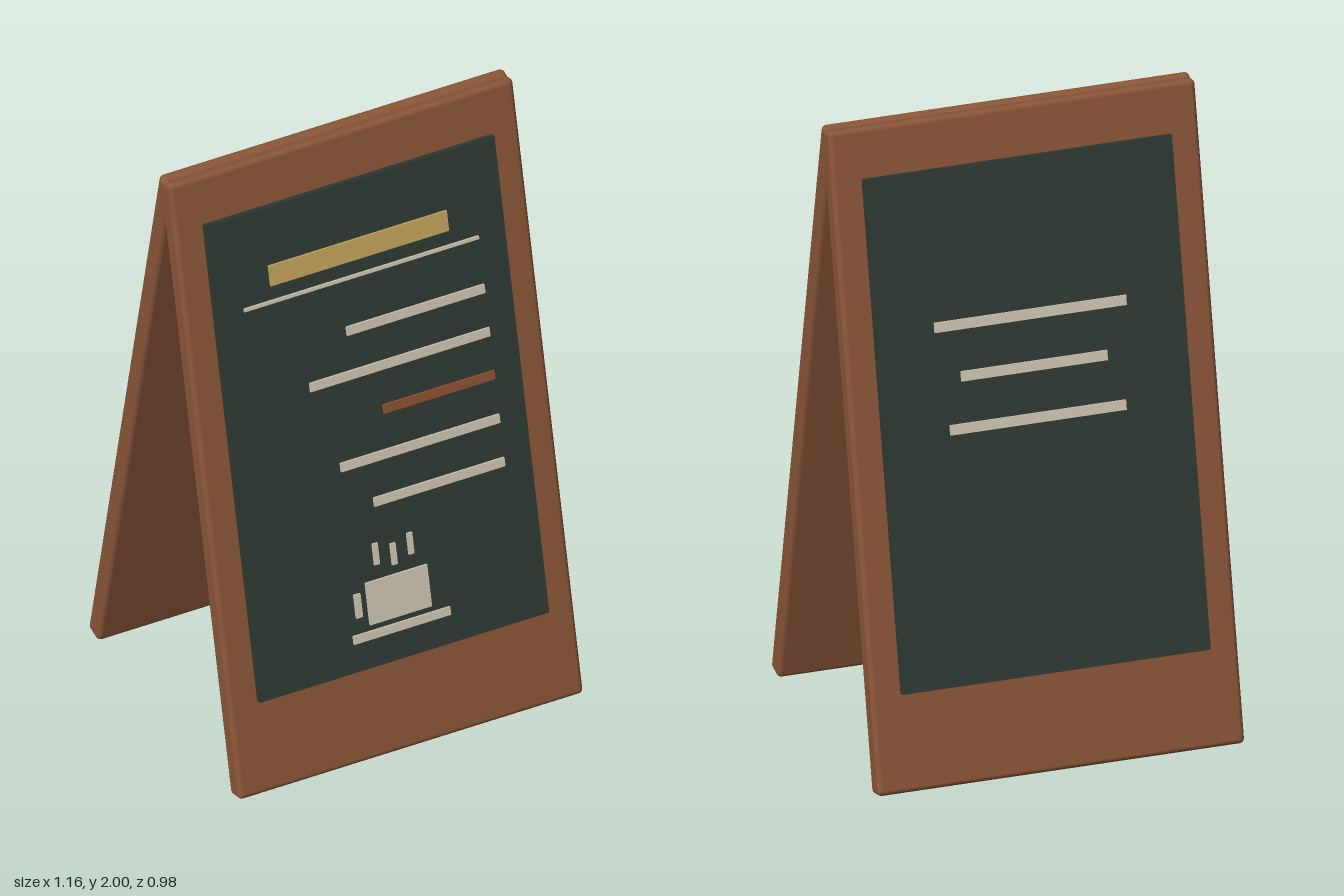
import * as THREE from 'three';
import { RoundedBoxGeometry } from 'three/addons/geometries/RoundedBoxGeometry.js';

const TILT = 0.2255, SIN = Math.sin(TILT), COS = Math.cos(TILT);
const THICK = 0.068, BOARD_FACE = THICK / 2 + 0.02;

const wood = new THREE.MeshStandardMaterial({ name: 'brown wood', color: 0x8b5639 });
const slate = new THREE.MeshStandardMaterial({ name: 'slate green', color: 0x2f3a32 });
const chalk = new THREE.MeshStandardMaterial({ name: 'cream chalk', color: 0xcfc6b2 });
const gold = new THREE.MeshStandardMaterial({ name: 'gold chalk', color: 0xc6a65c });
const rust = new THREE.MeshStandardMaterial({ name: 'rust chalk', color: 0x8e5232 });

function add(parent, name, geometry, material, x, y, z) {
  const mesh = new THREE.Mesh(geometry, material);
  mesh.name = name;
  mesh.position.set(x, y, z);
  parent.add(mesh);
}

// thin chalk mark, given by its upright height y and its left and right x
function mark(parent, name, material, x0, x1, y, height) {
  const z = BOARD_FACE + 0.006;
  add(parent, name, new THREE.BoxGeometry(x1 - x0, height / COS, 0.008), material,
    (x0 + x1) / 2, (y - 1 - z * SIN) / COS, z);
}

// one leaning wooden panel with its writing surface
function makePanel(name) {
  const panel = new THREE.Group();
  panel.name = name;
  panel.position.set(0, 1, 0.23);
  panel.rotation.x = -TILT;
  add(panel, 'woodPanel', new RoundedBoxGeometry(1.16, 2.04, THICK, 3, 0.016), wood, 0, 0, 0);
  add(panel, 'chalkboard', new THREE.BoxGeometry(0.974, 1.58, 0.03), slate, 0, 0.075, BOARD_FACE - 0.015);
  return panel;
}

export function createModel() {
  const model = new THREE.Group();
  model.name = 'sandwichBoard';

  // front panel: heading, rule and menu lines
  const front = makePanel('frontPanel');
  mark(front, 'heading', gold, -0.3, 0.3, 1.643, 0.065);
  mark(front, 'headingRule', chalk, -0.395, 0.395, 1.56, 0.01);
  [[-0.07, 1.395, chalk], [-0.21, 1.255, chalk], [0.02, 1.116, rust], [-0.14, 0.975, chalk], [-0.045, 0.835, chalk]]
    .forEach(([x, y, material], i) => mark(front, 'menuLine' + (i + 1), material, x, 0.395, y, 0.028));

  // cup drawing
  mark(front, 'cup', chalk, -0.104, 0.104, 0.523, 0.135);
  mark(front, 'cupHandle', chalk, -0.146, -0.124, 0.527, 0.075);
  mark(front, 'saucer', chalk, -0.163, 0.163, 0.423, 0.026);
  [[-0.058, 0.672], [0, 0.655], [0.058, 0.672]]
    .forEach(([x, y], i) => mark(front, 'steam' + (i + 1), chalk, x - 0.009, x + 0.009, y, 0.068));
  model.add(front);

  // back panel: three centred lines
  const back = makePanel('backPanel');
  [[0.303, 1.39], [0.231, 1.235], [0.278, 1.08]]
    .forEach(([half, y], i) => mark(back, 'backLine' + (i + 1), chalk, -half, half, y, 0.03));
  const turned = new THREE.Group();
  turned.name = 'backSide';
  turned.rotation.y = Math.PI;
  turned.add(back);
  model.add(turned);

  return model;
}
